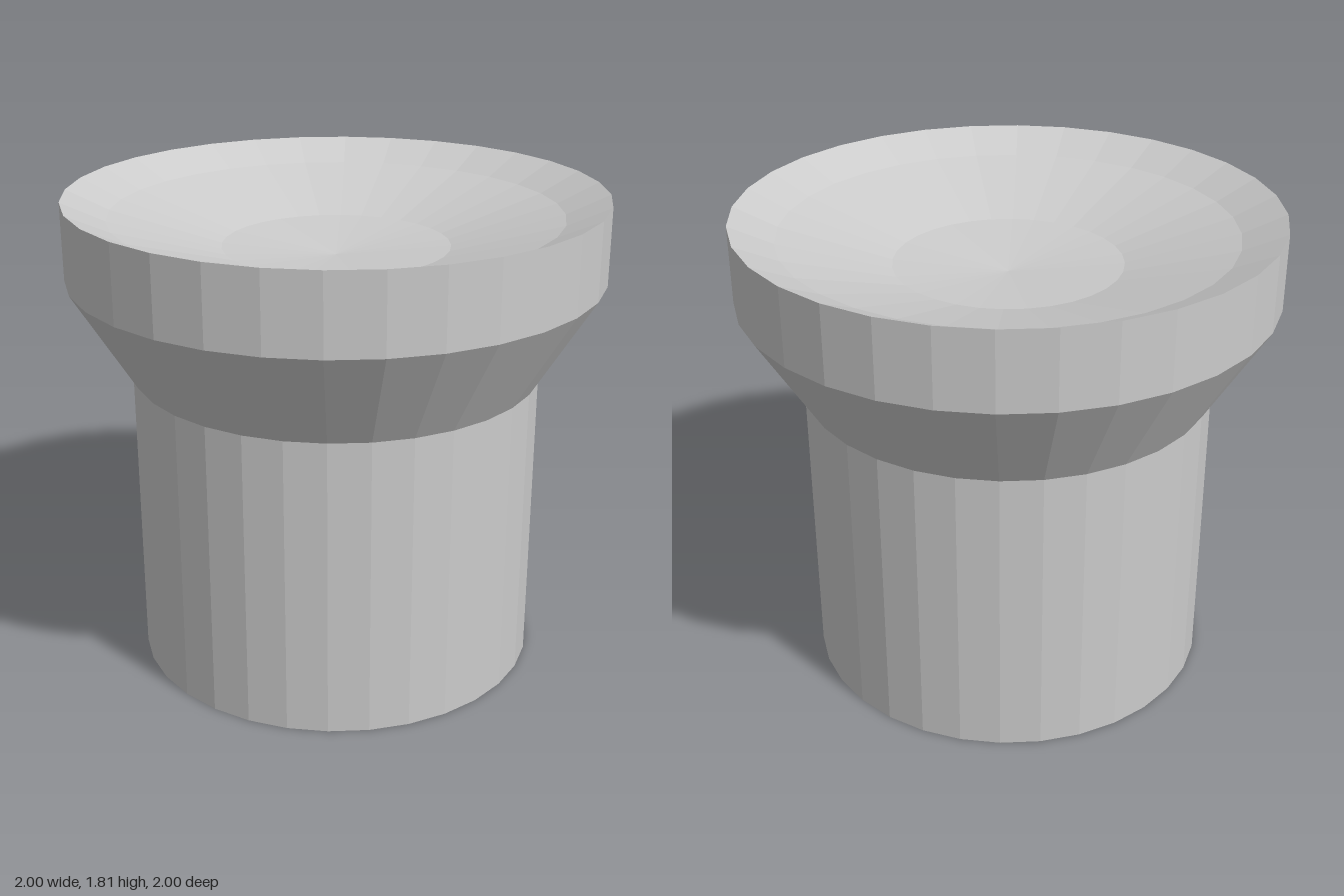
import * as THREE from 'three';

const SIDES = 32;

export function createModel() {
  const group = new THREE.Group();
  const material = new THREE.MeshStandardMaterial({ color: 0xcccccc, flatShading: true });

  // Faceted surface of revolution from [radius, height] pairs
  const turned = (name, profile) => {
    const points = profile.map(([r, y]) => new THREE.Vector2(r, y));
    const geometry = new THREE.LatheGeometry(points, SIDES).toNonIndexed();
    geometry.computeVertexNormals();
    const mesh = new THREE.Mesh(geometry, material);
    mesh.name = name;
    group.add(mesh);
  };

  // Straight stem with a closed base
  turned('stem', [[0, 0], [0.77, 0], [0.77, 1.14]]);

  // Flared neck and upright rim band
  turned('flare', [[0.77, 1.14], [1, 1.52]]);
  turned('rim', [[1, 1.52], [1, 1.81]]);

  // Shallow dished top, from the rim down to the centre
  turned('dish', [[1, 1.81], [0.84, 1.735], [0.425, 1.615], [0, 1.575]]);

  return group;
}
